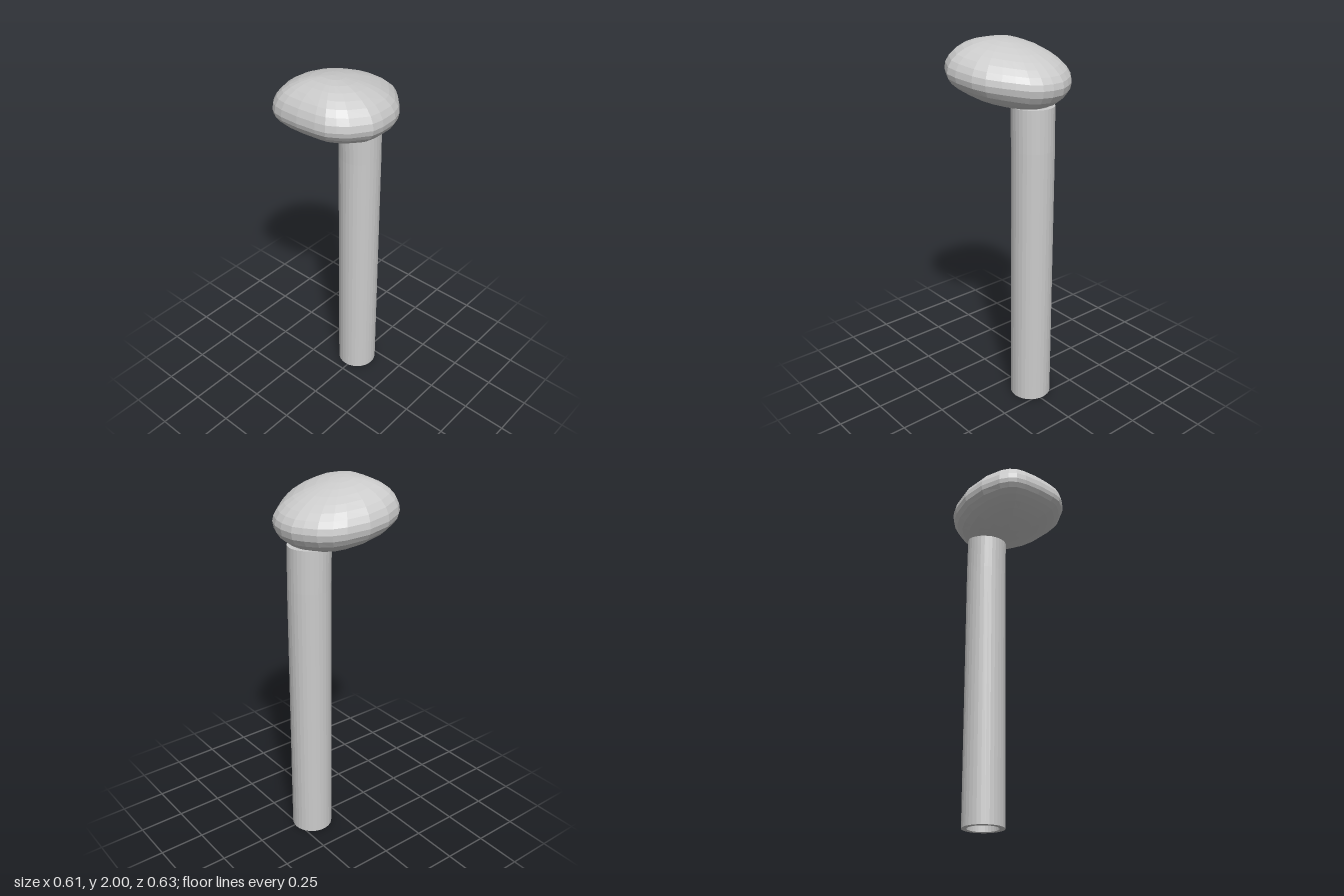
import * as THREE from 'three';

const material = new THREE.MeshStandardMaterial({ color: 0xcccccc, flatShading: true });
const tubeMaterial = new THREE.MeshStandardMaterial({ color: 0xcccccc, flatShading: true, side: THREE.DoubleSide });

// Outline of the head seen from above (x, z), starting at the back
const outline = [
  [-0.01, -0.317], [0.05, -0.31], [0.11, -0.285], [0.16, -0.235], [0.205, -0.185], [0.255, -0.12],
  [0.285, -0.05], [0.302, 0.06], [0.3, 0.13], [0.245, 0.23], [0.2, 0.27], [0.155, 0.298],
  [0.1, 0.308], [-0.01, 0.314], [-0.115, 0.308], [-0.17, 0.295], [-0.21, 0.27], [-0.245, 0.23],
  [-0.29, 0.13], [-0.305, 0], [-0.28, -0.12], [-0.25, -0.185], [-0.2, -0.24], [-0.14, -0.28],
  [-0.085, -0.308],
];

// Pebble: the outline shrinks toward both poles around a tilted rim
function createHead() {
  const rings = 16, n = outline.length, cx = -0.015, cz = 0.055;
  const positions = [], indices = [];
  for (let i = 0; i <= rings; i++) {
    const angle = Math.PI / 2 - (i / rings) * Math.PI;
    const r = Math.max(0, Math.cos(angle)), s = Math.sin(angle);
    for (const [ox, oz] of outline) {
      const x = cx + (ox - cx) * r, z = cz + (oz - cz) * r;
      const rim = 1.825 + 0.08 * z + 0.04 * x;
      const height = s > 0 ? 0.166 + 0.05 * z : 0.15 - 0.11 * z;
      positions.push(x, rim + height * s, z);
    }
  }
  for (let i = 0; i < rings; i++) {
    for (let j = 0; j < n; j++) {
      const a = i * n + j, b = i * n + (j + 1) % n, c = a + n, d = b + n;
      if (i > 0) indices.push(a, b, c);
      if (i < rings - 1) indices.push(b, d, c);
    }
  }
  const geometry = new THREE.BufferGeometry();
  geometry.setAttribute('position', new THREE.Float32BufferAttribute(positions, 3));
  geometry.setIndex(indices);
  geometry.computeVertexNormals();
  const head = new THREE.Mesh(geometry, material);
  head.name = 'head';
  return head;
}

// Hollow round tube between two heights
function createTube(name, bottom, top) {
  const outer = 0.113, inner = 0.085;
  const profile = [[outer, bottom], [outer, top], [inner, top], [inner, bottom], [outer, bottom]]
    .map(([r, y]) => new THREE.Vector2(r, y));
  const tube = new THREE.Mesh(new THREE.LatheGeometry(profile, 32), tubeMaterial);
  tube.name = name;
  tube.position.set(-0.018, 0, -0.158);
  return tube;
}

export function createModel() {
  const group = new THREE.Group();
  group.name = 'knobbedPost';
  const collar = createTube('upperPost', 1.47, 1.695);
  // The upper piece leans forward very slightly above the joint
  const p = collar.geometry.attributes.position;
  for (let i = 0; i < p.count; i++) p.setZ(i, p.getZ(i) + (p.getY(i) - 1.47) * 0.02);
  collar.geometry.computeVertexNormals();
  group.add(createTube('post', 0, 1.47), collar, createHead());
  return group;
}
